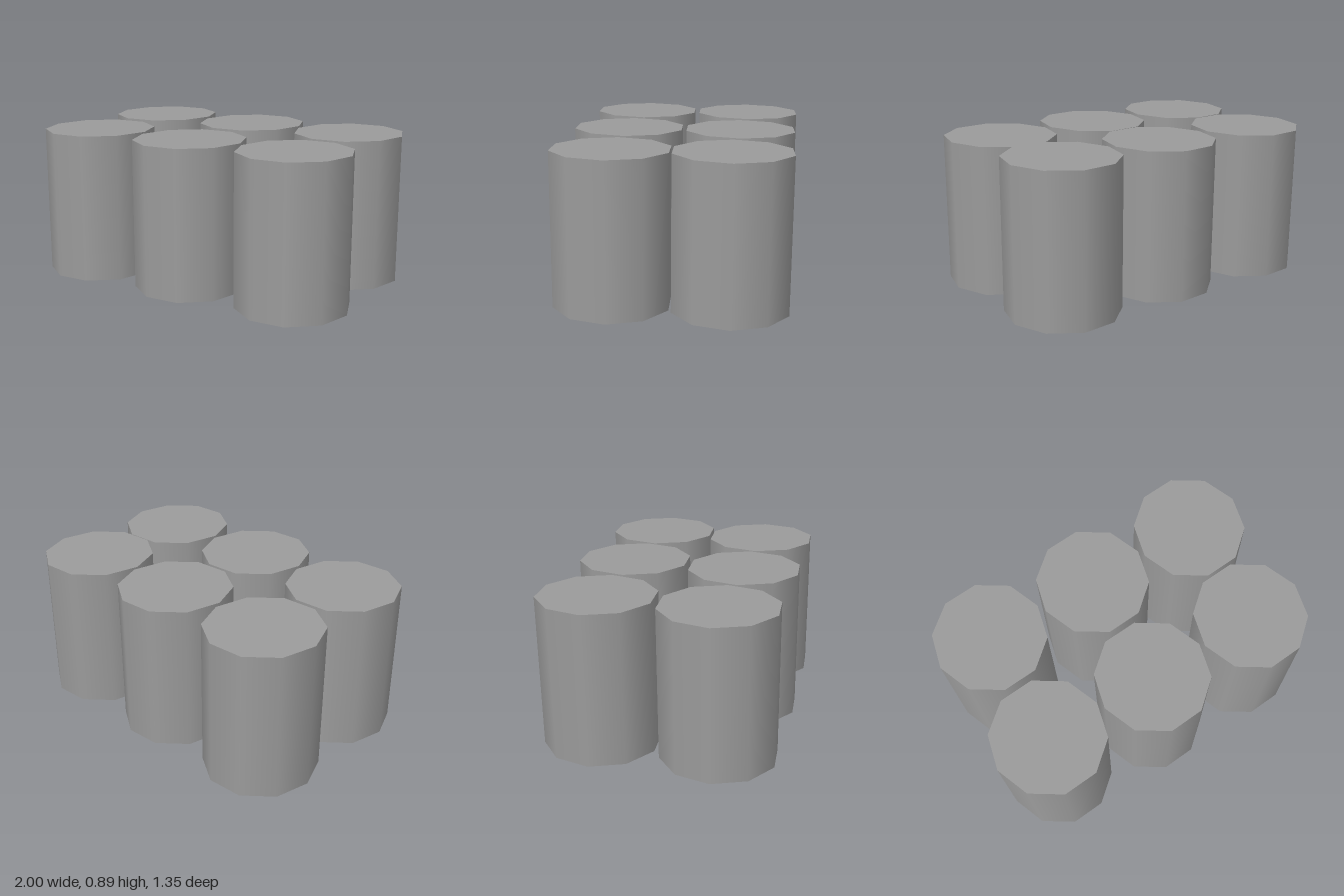
import * as THREE from 'three';

export function createModel() {
  const model = new THREE.Group();
  const material = new THREE.MeshStandardMaterial({ color: 0x9b9b9b });

  // Ten-sided drum, slightly oval, turned about its axis and leaning a touch back and to the right
  const drum = new THREE.CylinderGeometry(0.331, 0.331, 0.877, 10);
  drum.rotateY(THREE.MathUtils.degToRad(22.5));
  drum.scale(0.985, 1, 1.014);
  drum.rotateX(-0.008);
  drum.rotateZ(0.005);

  // Two loose rows of three: [name, x, y, z]
  const places = [
    ['backRightDrum', -0.673, 0.444, -0.335],
    ['backMiddleDrum', 0.001, 0.444, -0.335],
    ['backLeftDrum', 0.671, 0.444, -0.345],
    ['frontRightDrum', -0.673, 0.442, 0.342],
    ['frontMiddleDrum', -0.002, 0.442, 0.338],
    ['frontLeftDrum', 0.671, 0.442, 0.312],
  ];
  for (const [name, x, y, z] of places) {
    const mesh = new THREE.Mesh(drum, material);
    mesh.name = name;
    mesh.position.set(x, y, z);
    model.add(mesh);
  }
  return model;
}
